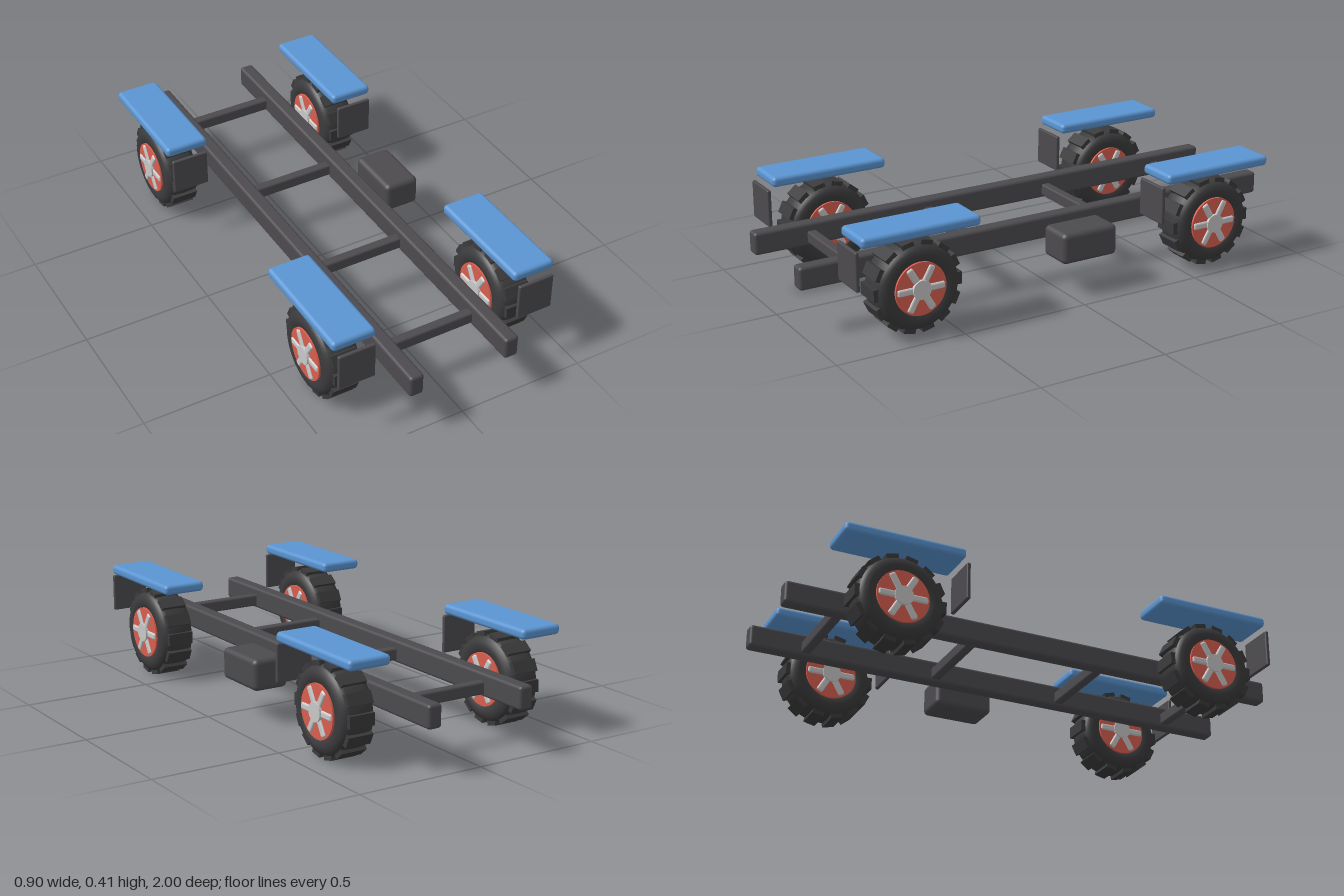
import * as THREE from 'three';
import { RoundedBoxGeometry } from 'three/addons/geometries/RoundedBoxGeometry.js';

const paint = (name, color) => {
  const m = new THREE.MeshStandardMaterial({ color });
  m.name = name;
  return m;
};

export function createModel() {
  const frameGrey = paint('frame grey', 0x4c4a4e);
  const tyreBlack = paint('tyre black', 0x3b3a3c);
  const blue = paint('fender blue', 0x5b95d2);
  const red = paint('rim red', 0xd95f50);
  const silver = paint('spoke silver', 0xc9c9c9);

  const model = new THREE.Group();
  model.name = 'chassis';

  const add = (parent, name, geometry, material, x = 0, y = 0, z = 0) => {
    const mesh = new THREE.Mesh(geometry, material);
    mesh.name = name;
    mesh.position.set(x, y, z);
    parent.add(mesh);
    return mesh;
  };
  const rounded = (w, h, d, r) => new RoundedBoxGeometry(w, h, d, 3, r);

  // Ladder frame: two rails and four cross members
  for (const side of [-1, 1]) {
    add(model, side > 0 ? 'leftRail' : 'rightRail', rounded(0.056, 0.087, 2, 0.012), frameGrey, side * 0.195, 0.213, 0);
  }
  for (const z of [-0.78, -0.25, 0.283, 0.772]) {
    add(model, 'crossMember', rounded(0.36, 0.047, 0.038, 0.008), frameGrey, 0, 0.203, z);
  }

  // Tank on the left side
  add(model, 'tank', rounded(0.143, 0.12, 0.236, 0.02), frameGrey, 0.343, 0.19, -0.082);

  // Tyre cross-section: x is the radius, y runs across the width
  const profile = [
    [0.095, -0.058], [0.104, -0.067], [0.125, -0.07], [0.142, -0.066], [0.155, -0.056], [0.162, -0.04],
    [0.164, 0],
    [0.162, 0.04], [0.155, 0.056], [0.142, 0.066], [0.125, 0.07], [0.104, 0.067], [0.095, 0.058],
  ].map(([r, y]) => new THREE.Vector2(r, y));
  const tyreGeometry = new THREE.LatheGeometry(profile, 48);
  const lugGeometry = new THREE.BoxGeometry(0.046, 0.102, 0.024);
  const rimGeometry = new THREE.CylinderGeometry(0.1, 0.1, 0.143, 40);
  const spokeGeometry = rounded(0.027, 0.156, 0.068, 0.008);
  const hubGeometry = new THREE.CylinderGeometry(0.036, 0.036, 0.166, 24);
  const LUGS = 14, SPOKES = 6;

  // Wheel is built around the y axis, then turned so its axle lies along x
  const makeWheel = () => {
    const wheel = new THREE.Group();
    wheel.name = 'wheel';
    add(wheel, 'tyre', tyreGeometry, tyreBlack);
    add(wheel, 'rim', rimGeometry, red);
    add(wheel, 'hub', hubGeometry, silver);
    const ring = (name, count, geometry, material, radius) => {
      for (let i = 0; i < count; i++) {
        const a = (i / count) * Math.PI * 2;
        add(wheel, name, geometry, material, Math.sin(a) * radius, 0, Math.cos(a) * radius).rotation.y = a;
      }
    };
    ring('treadLug', LUGS, lugGeometry, tyreBlack, 0.162);
    ring('spoke', SPOKES, spokeGeometry, silver, 0.06);
    wheel.rotation.z = -Math.PI / 2;
    return wheel;
  };

  // Four corners: wheel, flat fender and mud flap
  const fenderGeometry = rounded(0.17, 0.039, 0.466, 0.015);
  const flapGeometry = rounded(0.145, 0.145, 0.015, 0.005);
  for (const side of [-1, 1]) {
    for (const z of [-0.635, 0.635]) {
      const wheel = makeWheel();
      wheel.position.set(side * 0.358, 0.176, z);
      model.add(wheel);
      add(model, 'fender', fenderGeometry, blue, side * 0.367, 0.393, z);
      add(model, 'mudFlap', flapGeometry, frameGrey, side * 0.367, 0.291, z + 0.246);
    }
  }

  return model;
}
